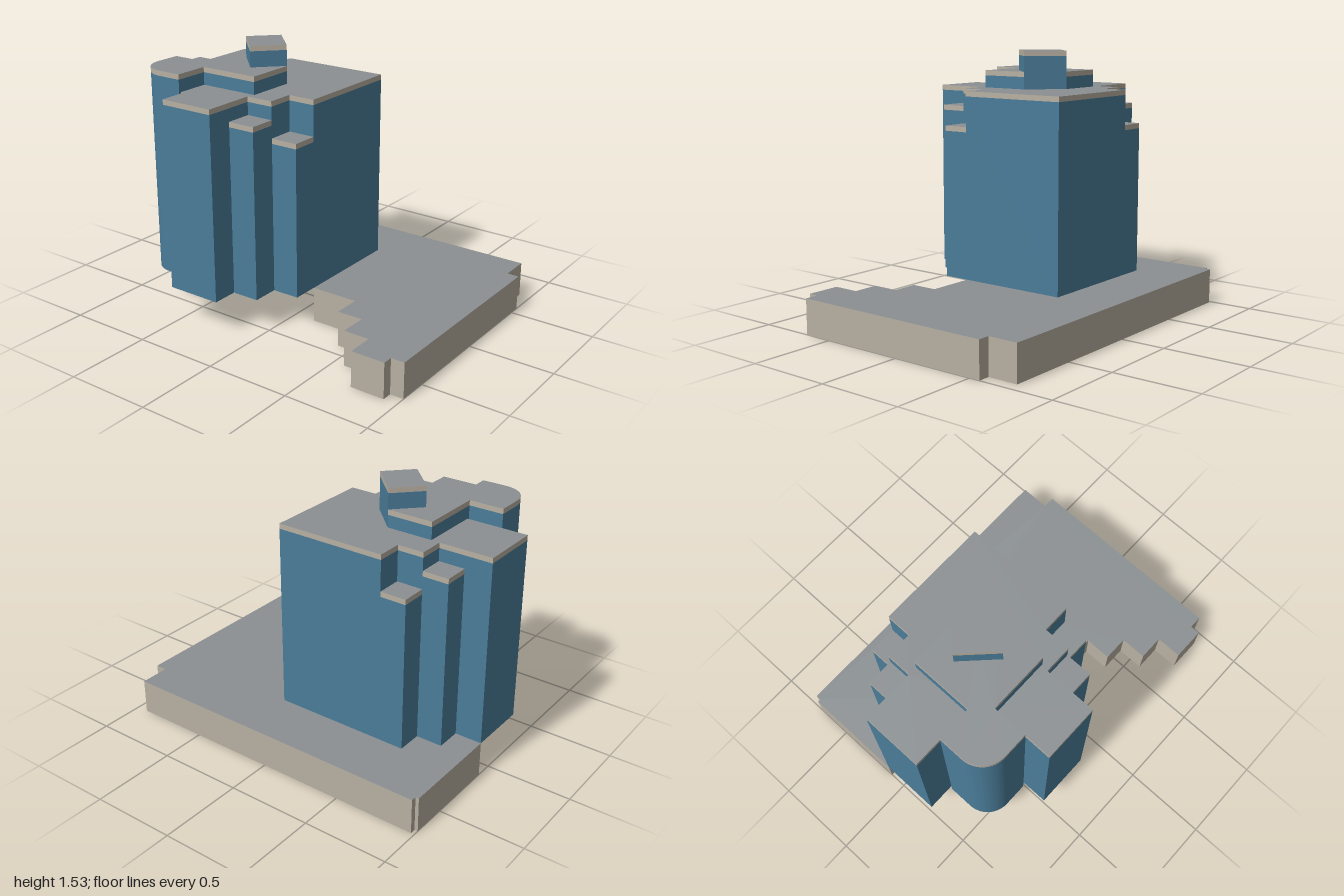
import * as THREE from 'three';

const material = (name, color) => {
  const m = new THREE.MeshStandardMaterial({ color });
  m.name = name;
  return m;
};

const BASE_TOP = 0.207; // podium roof level, where the tower starts
const BAND = 0.03;      // height of the pale parapet band

export function createModel() {
  const blue = material('blue facade', 0x4a7c99);
  const beige = material('beige stone', 0xb8b0a2);
  const grey = material('grey roof', 0x8b9093);
  const model = new THREE.Group();

  // Upright prism from an [x, z] outline
  const prism = (name, outline, y0, y1, materials) => {
    const shape = new THREE.Shape(outline.map(([x, z]) => new THREE.Vector2(x, -z)));
    const geometry = new THREE.ExtrudeGeometry(shape, { depth: y1 - y0, bevelEnabled: false });
    geometry.rotateX(-Math.PI / 2).translate(0, y0, 0);
    const mesh = new THREE.Mesh(geometry, materials);
    mesh.name = name;
    return mesh;
  };

  // Block: wall below, pale band with a grey roof on top
  const block = (name, outline, y0, y1, wall) => {
    const group = new THREE.Group();
    group.name = name;
    group.add(
      prism(name + 'Walls', outline, y0, y1 - BAND, wall),
      prism(name + 'Roof', outline, y1 - BAND, y1, [grey, beige]),
    );
    model.add(group);
  };

  const rect = (x0, x1, z0, z1) => [[x0, z0], [x1, z0], [x1, z1], [x0, z1]];

  // Podium, cut out around the back of the tower
  block('podium', [
    [-1, -0.1], [-0.84, -0.1], [-0.84, -0.25], [-0.685, -0.25], [-0.685, -0.4],
    [0.132, -0.4], [0.132, 0.257], [0.415, 0.257], [0.415, 0.417], [0.567, 0.417],
    [0.567, 0.577], [0.72, 0.577], [0.72, 0.735], [0.92, 0.735], [0.92, 0.675],
    [1, 0.675], [1, -0.563], [0.93, -0.563], [0.93, -0.74], [-0.98, -0.74],
    [-0.98, -0.708], [-1, -0.708],
  ], 0, BASE_TOP, beige);

  // Main tower with stepped corners
  block('mainTower', [
    [-0.53, -0.4], [0.132, -0.4], [0.132, 0.257], [-0.03, 0.257], [-0.03, 0.413],
    [-0.193, 0.413], [-0.193, 0.723], [-0.523, 0.723], [-0.523, 0.56], [-0.56, 0.56],
    [-0.56, 0.257], [-1, 0.257], [-1, -0.1], [-0.685, -0.1], [-0.685, -0.25], [-0.53, -0.25],
  ], BASE_TOP, 1.312, blue);

  // Taller tower with a rounded front corner
  const corner = [];
  for (let i = 0; i <= 16; i++) {
    const a = (i / 16) * Math.PI / 2;
    corner.push([-0.685 - 0.155 * Math.sin(a), 0.419 + 0.155 * Math.cos(a)]);
  }
  block('roundedTower', [
    [-0.36, -0.098], [-0.34, 0.063], [-0.182, 0.08], [-0.182, 0.37], [-0.542, 0.37],
    [-0.542, 0.574], ...corner, [-0.84, 0.272], [-0.635, 0.272], [-0.635, -0.098],
  ], BASE_TOP, 1.414, blue);

  // Low corner columns, front and back
  block('frontInnerColumn', rect(-0.193, -0.03, 0.413, 0.57), BASE_TOP, 1.208, blue);
  block('frontOuterColumn', rect(-0.03, 0.132, 0.257, 0.413), BASE_TOP, 1.105, blue);
  block('backInnerColumn', rect(-0.84, -0.685, -0.25, -0.1), BASE_TOP, 1.208, blue);
  block('backOuterColumn', rect(-0.685, -0.53, -0.4, -0.25), BASE_TOP, 1.105, blue);

  // Turned rooftop room
  block('rooftopRoom', [[-0.36, -0.098], [-0.182, 0.08], [-0.324, 0.227], [-0.502, 0.049]],
    1.3, 1.535, blue);

  return model;
}
